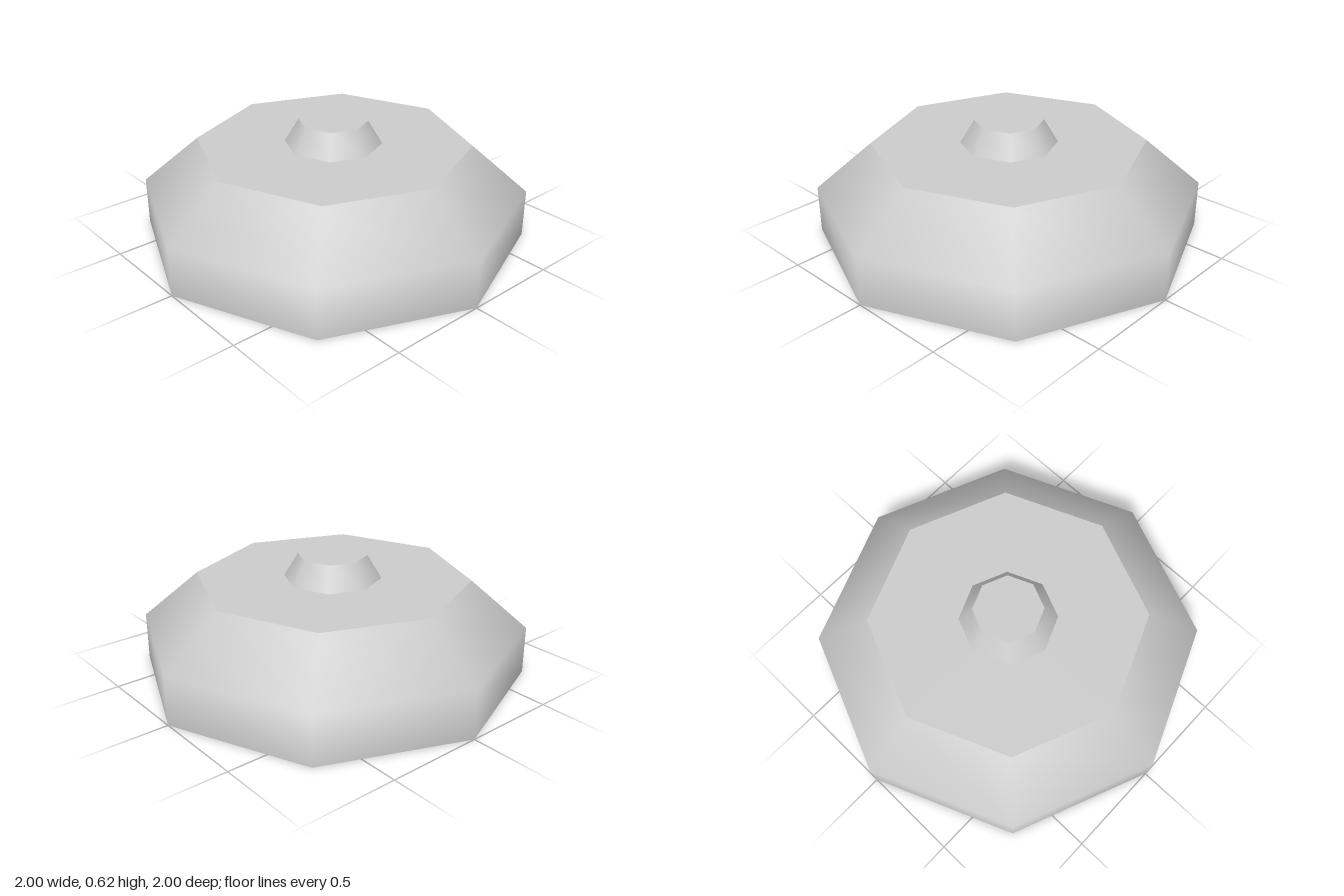
import * as THREE from 'three';

const SIDES = 8;

export function createModel() {
  const model = new THREE.Group();
  const material = new THREE.MeshStandardMaterial({ color: 0xcccccc });

  const add = (name, geometry) => {
    const mesh = new THREE.Mesh(geometry, material);
    mesh.name = name;
    model.add(mesh);
    return mesh;
  };

  // Smooth-shaded octagonal side, given as [radius, height] from bottom to top
  const side = (name, profile) =>
    add(name, new THREE.LatheGeometry(profile.map(([r, y]) => new THREE.Vector2(r, y)), SIDES));

  // Flat octagonal cap with a sharp edge to its side; facing is 1 for up, -1 for down
  const cap = (name, radius, y, facing) => {
    const geometry = new THREE.CircleGeometry(radius, SIDES);
    geometry.rotateX(-facing * Math.PI / 2);
    add(name, geometry).position.y = y;
  };

  // Wide body: upright wall running softly into a sloped shoulder
  side('bodySide', [[1, 0], [1, 0.25], [0.707, 0.5]]);
  cap('bodyBottom', 1, 0, -1);
  cap('bodyTop', 0.707, 0.5, 1);

  // Small tapered knob in the middle
  side('knobSide', [[0.25, 0.5], [0.177, 0.622]]);
  cap('knobTop', 0.177, 0.622, 1);

  return model;
}
